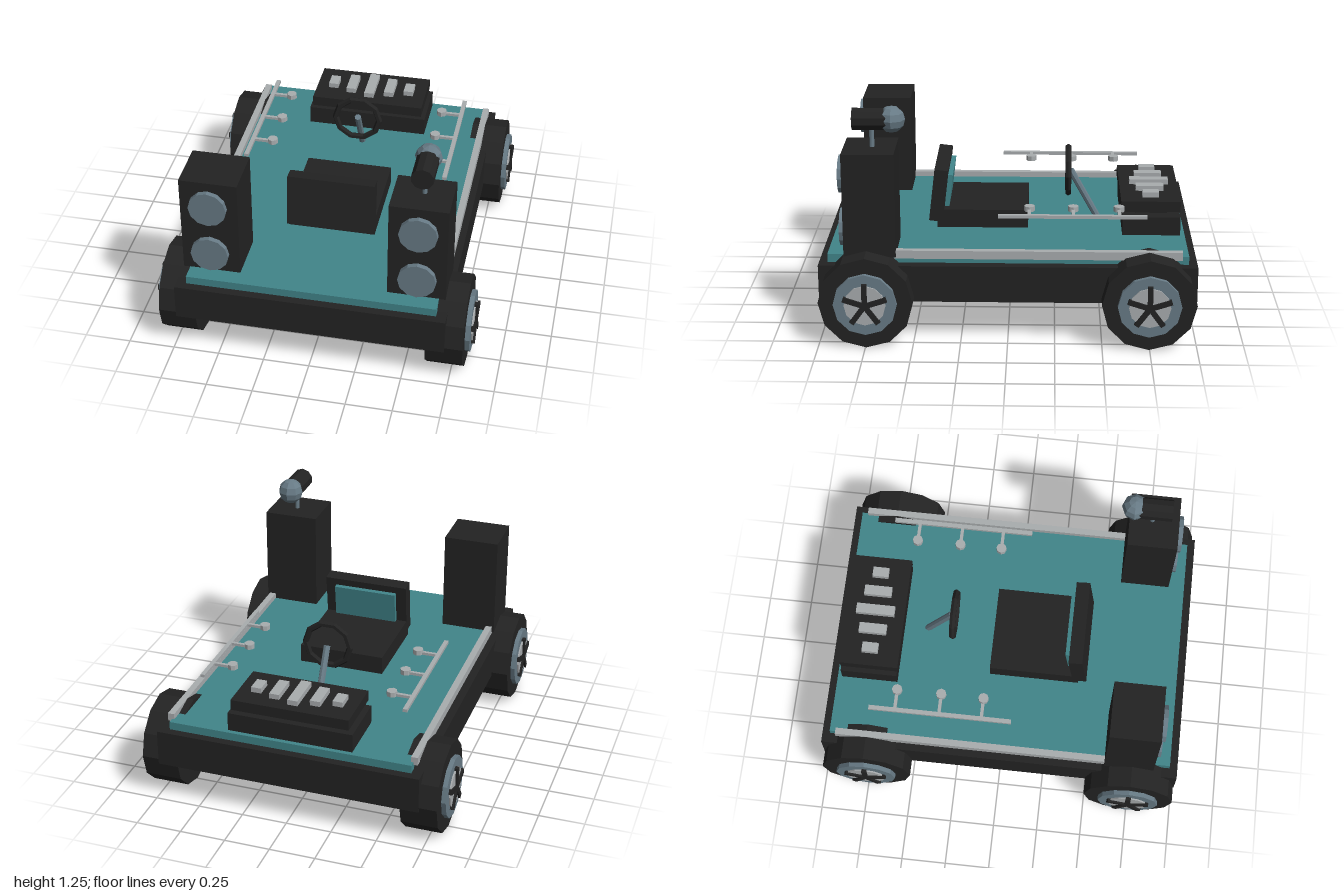
import * as THREE from 'three';

const mat = (name, color) => {
  const m = new THREE.MeshStandardMaterial({ color });
  m.name = name;
  m.flatShading = true;
  return m;
};

export function createModel() {
  const black = mat('charcoal', 0x232323);
  const teal = mat('teal', 0x41858a);
  const silver = mat('silver', 0xa9adaf);
  const steel = mat('blueGrey', 0x687b86);

  const root = new THREE.Group();
  root.name = 'stageCart';
  const group = (name, parent = root) => {
    const g = new THREE.Group();
    g.name = name;
    parent.add(g);
    return g;
  };
  const add = (parent, name, geo, material, x = 0, y = 0, z = 0) => {
    const m = new THREE.Mesh(geo, material);
    m.name = name;
    m.position.set(x, y, z);
    parent.add(m);
    return m;
  };
  // box given by its limits on each axis
  const box = (parent, name, material, [x0, x1], [y0, y1], [z0, z1]) =>
    add(parent, name, new THREE.BoxGeometry(x1 - x0, y1 - y0, z1 - z0), material,
      (x0 + x1) / 2, (y0 + y1) / 2, (z0 + z1) / 2);
  const rod = (r, len, axis, sides = 12) => {
    const g = new THREE.CylinderGeometry(r, r, len, sides);
    if (axis === 'x') g.rotateZ(Math.PI / 2);
    if (axis === 'z') g.rotateX(Math.PI / 2);
    return g;
  };

  // body
  box(root, 'chassis', black, [-0.725, 0.725], [0.225, 0.425], [-1, 1]);
  box(root, 'deck', teal, [-0.67, 0.67], [0.42, 0.47], [-0.955, 0.955]);

  for (const s of [-1, 1]) {
    const side = s > 0 ? 'left' : 'right';

    // wheels with five-spoke hubs
    for (const z of [-0.745, 0.745]) {
      const w = group(side + (z > 0 ? 'FrontWheel' : 'RearWheel'));
      w.position.set(0, 0.25, z);
      add(w, 'tyre', rod(0.25, 0.2, 'x'), black, s * 0.72);
      add(w, 'rim', rod(0.168, 0.03, 'x'), steel, s * 0.83);
      add(w, 'hubDisc', rod(0.11, 0.02, 'x'), silver, s * 0.843);
      for (let i = 0; i < 5; i++) {
        const g = new THREE.BoxGeometry(0.02, 0.12, 0.028);
        g.translate(0, 0.06, 0).rotateX((i * Math.PI * 2) / 5);
        add(w, 'spoke', g, black, s * 0.854);
      }
    }

    // side rail along the deck
    box(root, side + 'Rail', silver, [s * 0.675 - 0.018, s * 0.675 + 0.018], [0.455, 0.5], [-0.92, 0.6]);

    // speaker tower
    const sp = group(side + 'Speaker');
    box(sp, 'cabinet', black, [s * 0.55 - 0.155, s * 0.55 + 0.155], [0.465, 1.03], [0.59, 0.865]);
    for (const y of [0.585, 0.88]) add(sp, 'cone', rod(0.102, 0.04, 'z'), steel, s * 0.553, y, 0.873);

    // raised bar with three padded arms
    const arm = group(side + 'ArmBar');
    box(arm, 'bar', silver, [s * 0.565 - 0.012, s * 0.565 + 0.012], [0.643, 0.66], [-0.735, 0.055]);
    for (const z of [-0.59, -0.345, -0.11]) {
      add(arm, 'arm', new THREE.BoxGeometry(0.12, 0.015, 0.018), silver, s * 0.505, 0.652, z);
      add(arm, 'pad', rod(0.029, 0.028, 'y', 8), silver, s * 0.45, 0.658, z);
    }
  }

  // microphone on the left speaker
  const mic = group('microphone');
  add(mic, 'post', rod(0.013, 0.13, 'y', 8), steel, 0.555, 1.085, 0.715);
  add(mic, 'handle', rod(0.06, 0.205, 'z', 10), black, 0.555, 1.18, 0.7125);
  add(mic, 'head', new THREE.SphereGeometry(0.072, 8, 6), steel, 0.555, 1.18, 0.61);

  // driver's seat, facing the back
  const seat = group('seat');
  box(seat, 'cushion', black, [-0.24, 0.24], [0.465, 0.572], [-0.1, 0.4]);
  const back = group('backrest', seat);
  back.position.set(0, 0.505, 0.41);
  back.rotation.x = -0.115;
  box(back, 'backPanel', black, [-0.24, 0.24], [0, 0.295], [-0.04, 0.036]);
  box(back, 'backPad', teal, [-0.18, 0.18], [0.05, 0.255], [-0.066, -0.038]);

  // steering wheel and slanted column
  const steering = group('steering');
  add(steering, 'steeringWheel', new THREE.TorusGeometry(0.127, 0.018, 6, 10), black, 0, 0.73, -0.322);
  const top = new THREE.Vector3(0, 0.73, -0.335), foot = new THREE.Vector3(0, 0.46, -0.485);
  const column = add(steering, 'column', rod(0.019, top.distanceTo(foot), 'y', 8), steel);
  column.position.copy(top).add(foot).multiplyScalar(0.5);
  column.quaternion.setFromUnitVectors(new THREE.Vector3(0, 1, 0), top.clone().sub(foot).normalize());

  // two-tier console with graded silver bars
  const con = group('console');
  box(con, 'lowerTier', black, [-0.345, 0.345], [0.465, 0.573], [-0.93, -0.615]);
  box(con, 'spacer', black, [-0.27, 0.27], [0.57, 0.6], [-0.86, -0.69]);
  box(con, 'upperTier', black, [-0.325, 0.325], [0.597, 0.656], [-0.93, -0.607]);
  for (let i = -2; i <= 2; i++) {
    const half = [0.108, 0.077, 0.045][Math.abs(i)];
    box(con, 'keyBar', silver, [i * 0.113 - 0.028, i * 0.113 + 0.028], [0.65, 0.685], [-0.771 - half, -0.771 + half]);
  }
  return root;
}
